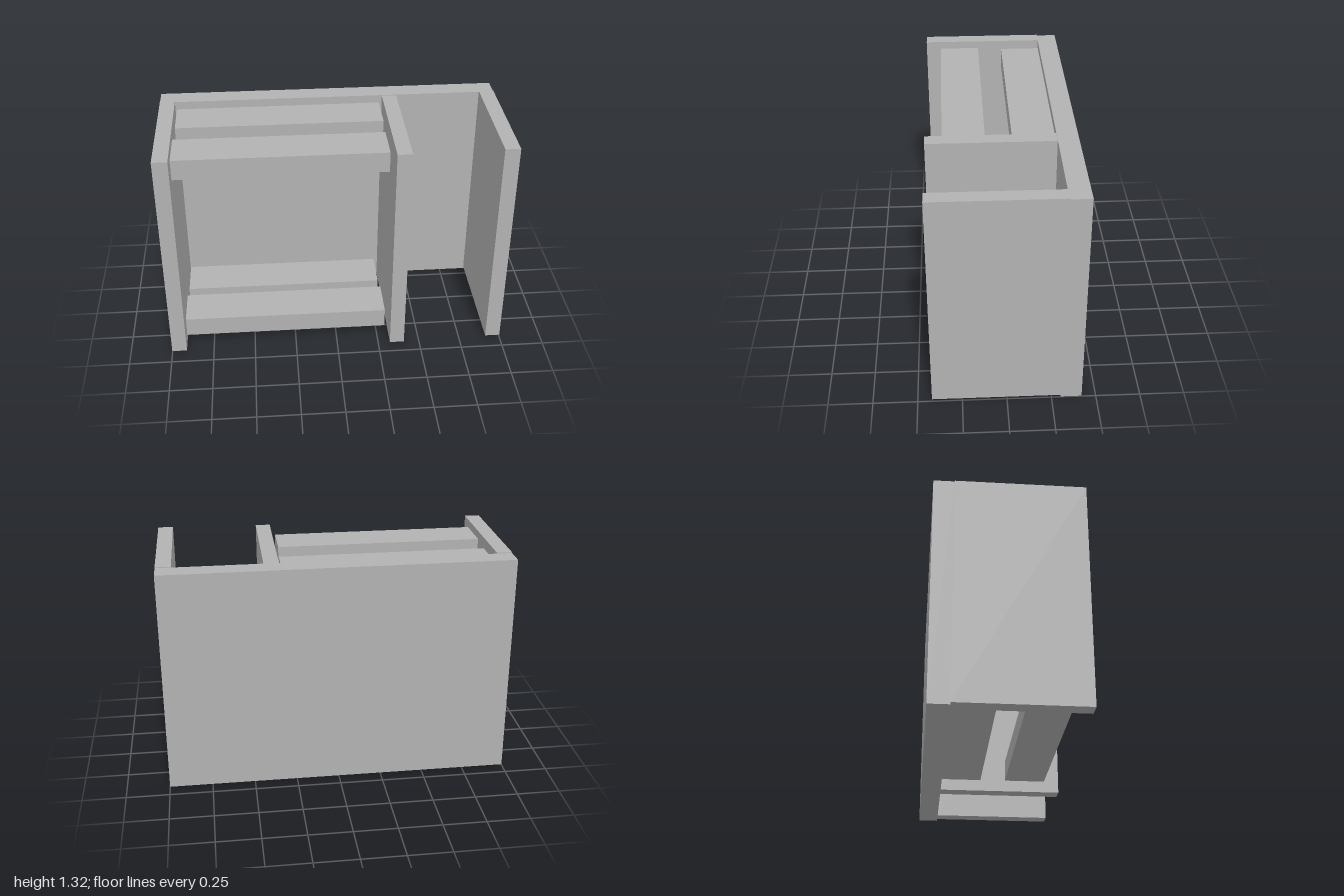
import * as THREE from 'three';

const grey = new THREE.MeshStandardMaterial({ color: 0xb2b2b2 });
grey.name = 'plain grey';

// Box given by its extents along each axis
function board(name, [x0, x1], [y0, y1], [z0, z1]) {
  const mesh = new THREE.Mesh(new THREE.BoxGeometry(x1 - x0, y1 - y0, z1 - z0), grey);
  mesh.position.set((x0 + x1) / 2, (y0 + y1) / 2, (z0 + z1) / 2);
  mesh.name = name;
  return mesh;
}

export function createModel() {
  const model = new THREE.Group();
  model.name = 'deskFrame';
  const depth = [-0.302, 0.42];

  // Back and upright panels
  model.add(
    board('backPanel', [-1, 1], [0.003, 1.32], [-0.42, -0.302]),
    board('rightPanel', [-1, -0.912], [0.015, 1.325], depth),
    board('leftPanel', [0.912, 1], [0.015, 1.325], depth),
    board('dividerPanel', [0.322, 0.408], [0, 1.316], depth),
  );

  // Cross rails between the right panel and the divider
  const front = [0.088, 0.328];
  const rear = [-0.302, -0.062];
  model.add(
    board('upperFrontRail', [-0.91, 0.297], [1.158, 1.28], front),
    board('upperRearRail', [-0.904, 0.305], [1.15, 1.272], rear),
    board('lowerFrontRail', [-0.91, 0.297], [0.06, 0.178], front),
    board('lowerRearRail', [-0.91, 0.3], [0.06, 0.113], rear),
  );
  return model;
}
